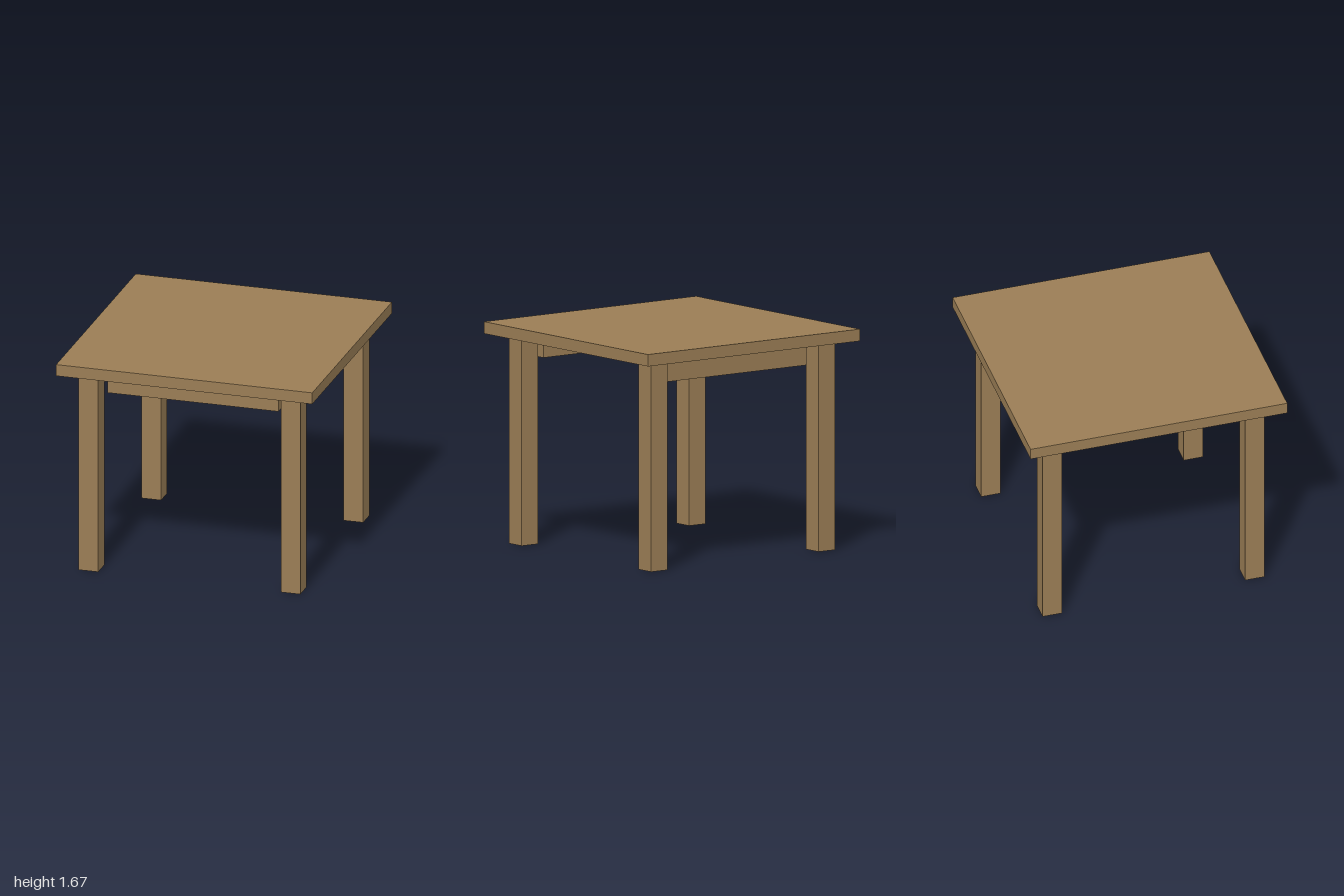
import * as THREE from 'three';

export function createModel() {
  const table = new THREE.Group();
  table.name = 'table';

  const wood = new THREE.MeshStandardMaterial({ color: 0x9a7d55 });
  wood.name = 'brown wood';

  const topHeight = 1.67, topThickness = 0.09;
  const underside = topHeight - topThickness;

  // Adds a box whose upper face lies at the height yTop
  const addBoard = (name, width, height, depth, x, yTop, z) => {
    const board = new THREE.Mesh(new THREE.BoxGeometry(width, height, depth), wood);
    board.name = name;
    board.position.set(x, yTop - height / 2, z);
    table.add(board);
  };

  // Square top
  addBoard('tableTop', 2, topThickness, 2, 0, topHeight, 0);

  for (const [end, sz] of [['front', 1], ['back', -1]]) {
    // Legs, inset from the corners
    for (const [side, sx] of [['Left', 1], ['Right', -1]]) {
      addBoard(`${end}${side}Leg`, 0.152, underside, 0.152, sx * 0.789, underside, sz * 0.789);
    }
    // Apron rail, stopping short of the legs
    addBoard(`${end}Apron`, 1.333, 0.178, 0.07, 0, underside, sz * 0.74);
  }

  return table;
}
